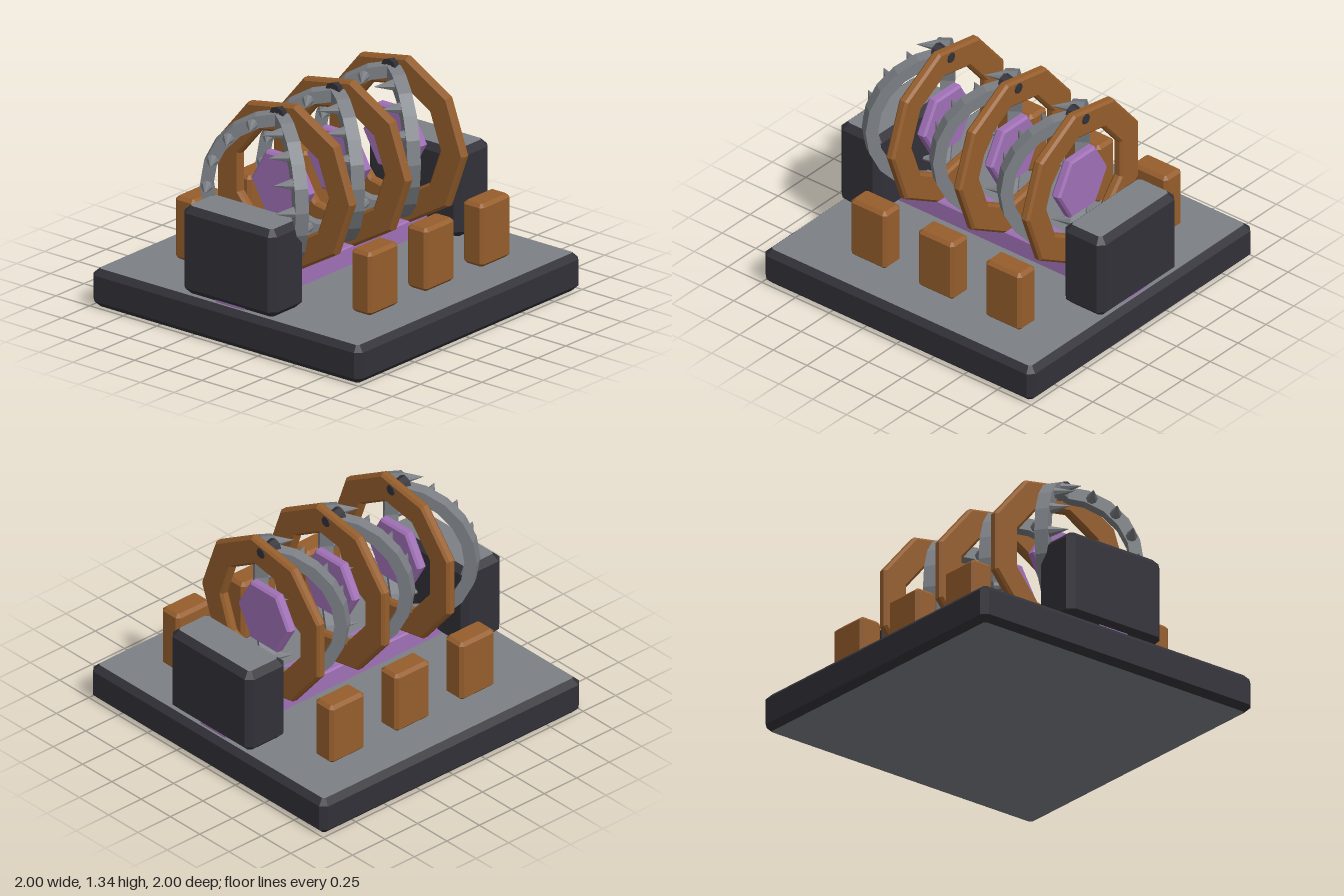
import * as THREE from 'three';

const mat = (name, color) => {
  const m = new THREE.MeshStandardMaterial({ color });
  m.name = name;
  return m;
};

export function createModel() {
  const dark = mat('charcoal', 0x323138);
  const grey = mat('steel grey', 0x7c8085);
  const brown = mat('wood brown', 0x965e2c);
  const purple = mat('purple', 0xa070b6);

  const model = new THREE.Group();
  model.name = 'trapGate';

  const add = (parent, name, geometry, material, x = 0, y = 0, z = 0) => {
    const mesh = new THREE.Mesh(geometry, material);
    mesh.name = name;
    mesh.position.set(x, y, z);
    parent.add(mesh);
    return mesh;
  };

  // Extrusion centred on z, its bevel kept inside the outline
  const slab = (shape, depth, bevel) => {
    const g = new THREE.ExtrudeGeometry(shape, {
      depth: depth - 2 * bevel, bevelEnabled: bevel > 0, bevelThickness: bevel,
      bevelSize: bevel, bevelOffset: -bevel, bevelSegments: 1, curveSegments: 1,
    });
    return g.translate(0, 0, bevel - depth / 2);
  };

  // Chamfered block; group 0 is the top and bottom, group 1 the sides
  const block = (w, h, d, c) => {
    const x = w / 2, y = d / 2;
    const shape = new THREE.Shape([
      [x - c, -y], [x, -y + c], [x, y - c], [x - c, y],
      [-x + c, y], [-x, y - c], [-x, -y + c], [-x + c, -y],
    ].map(([a, b]) => new THREE.Vector2(a, b)));
    return slab(shape, h, c).rotateX(-Math.PI / 2);
  };

  const polygon = (sides, r) => Array.from({ length: sides }, (_, i) => {
    const a = (i / sides) * Math.PI * 2;
    return new THREE.Vector2(Math.cos(a) * r, Math.sin(a) * r);
  });

  const flat = (g) => {
    const f = g.toNonIndexed();
    f.computeVertexNormals();
    return f;
  };

  // Base, end blocks and channel
  add(model, 'base', block(2, 0.23, 2, 0.036), [grey, dark], 0, 0.115, 0);
  for (const s of [-1, 1]) {
    add(model, s > 0 ? 'frontBlock' : 'backBlock', block(0.69, 0.535, 0.3, 0.038),
      [grey, dark], 0, 0.503, s * 0.83);
  }
  add(model, 'channel', block(0.225, 0.125, 1.9, 0.008), purple, 0, 0.283, 0);

  // Shared gate geometry
  const ringShape = new THREE.Shape(polygon(9, 0.517));
  ringShape.holes.push(new THREE.Path(polygon(9, 0.34).reverse()));
  const ringGeo = slab(ringShape, 0.063, 0.015);
  const hexGeo = slab(new THREE.Shape(polygon(6, 0.22)), 0.065, 0.013);
  const pinGeo = flat(new THREE.CylinderGeometry(0.054, 0.032, 0.115, 8).rotateX(Math.PI / 2));
  const pegGeo = block(0.15, 0.385, 0.265, 0.02);
  const spikeGeo = flat(new THREE.ConeGeometry(0.035, 0.12, 8).rotateX(Math.PI / 2));

  // Half-ring jaw on the given side
  const jawShape = (side) => {
    const arc = (r) => Array.from({ length: 11 }, (_, i) => {
      const a = (i / 10 - 0.5) * Math.PI;
      return new THREE.Vector2(side * Math.cos(a) * r, Math.sin(a) * r);
    });
    return new THREE.Shape([...arc(0.46), ...arc(0.385).reverse()]);
  };

  // Three gates, each a ring, hexagonal core, spiked jaws and two pegs
  for (const z of [-0.545, -0.045, 0.455]) {
    const gate = new THREE.Group();
    gate.name = 'gate';
    gate.position.set(0, 0.83, z);
    model.add(gate);

    add(gate, 'ring', ringGeo, brown);
    add(gate, 'core', hexGeo, purple, 0, 0, 0.015);
    add(gate, 'hingePin', pinGeo, dark, 0, 0.443, 0.02);

    for (const side of [-1, 1]) {
      const jaw = new THREE.Group();
      jaw.name = side > 0 ? 'leftJaw' : 'rightJaw';
      jaw.position.z = 0.042;
      jaw.rotation.y = -side * 0.6;
      gate.add(jaw);
      add(jaw, 'jawBand', slab(jawShape(side), 0.08, 0), grey);
      for (let i = 1; i < 8; i++) {
        const a = (i / 8 - 0.5) * Math.PI;
        add(jaw, 'spike', spikeGeo, grey, side * Math.cos(a) * 0.42, Math.sin(a) * 0.42, 0.097);
      }
      add(model, side > 0 ? 'leftPeg' : 'rightPeg', pegGeo, brown, side * 0.655, 0.4225, z - 0.015);
    }
  }
  return model;
}
